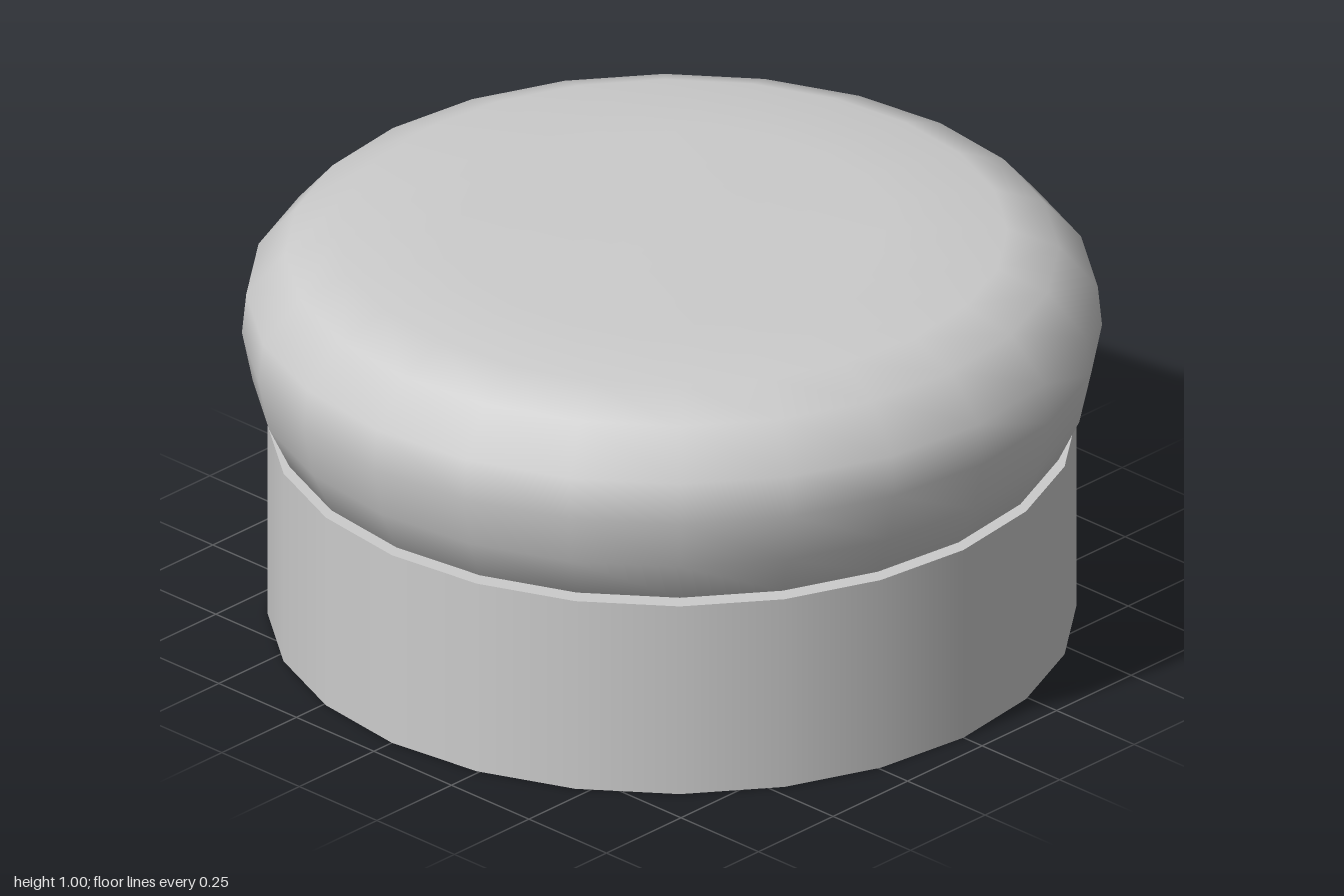
import * as THREE from 'three';

const SIDES = 24;

export function createModel() {
  const group = new THREE.Group();
  const material = new THREE.MeshStandardMaterial({ color: 0xcccccc });

  // Straight drum with flat ends
  const base = new THREE.Mesh(new THREE.CylinderGeometry(0.94, 0.94, 0.49, SIDES), material);
  base.name = 'base';
  base.position.y = 0.245;
  group.add(base);

  // Rounded, slightly domed cushion, profile from bottom to top
  const profile = [
    [0.89, 0.49], [0.925, 0.505], [0.975, 0.61], [1, 0.735],
    [0.99, 0.835], [0.9, 0.94], [0.78, 0.987], [0.5, 0.996], [0, 1],
  ].map(([r, y]) => new THREE.Vector2(r, y));
  const cap = new THREE.Mesh(new THREE.LatheGeometry(profile, SIDES), material);
  cap.name = 'cap';
  group.add(cap);

  return group;
}
